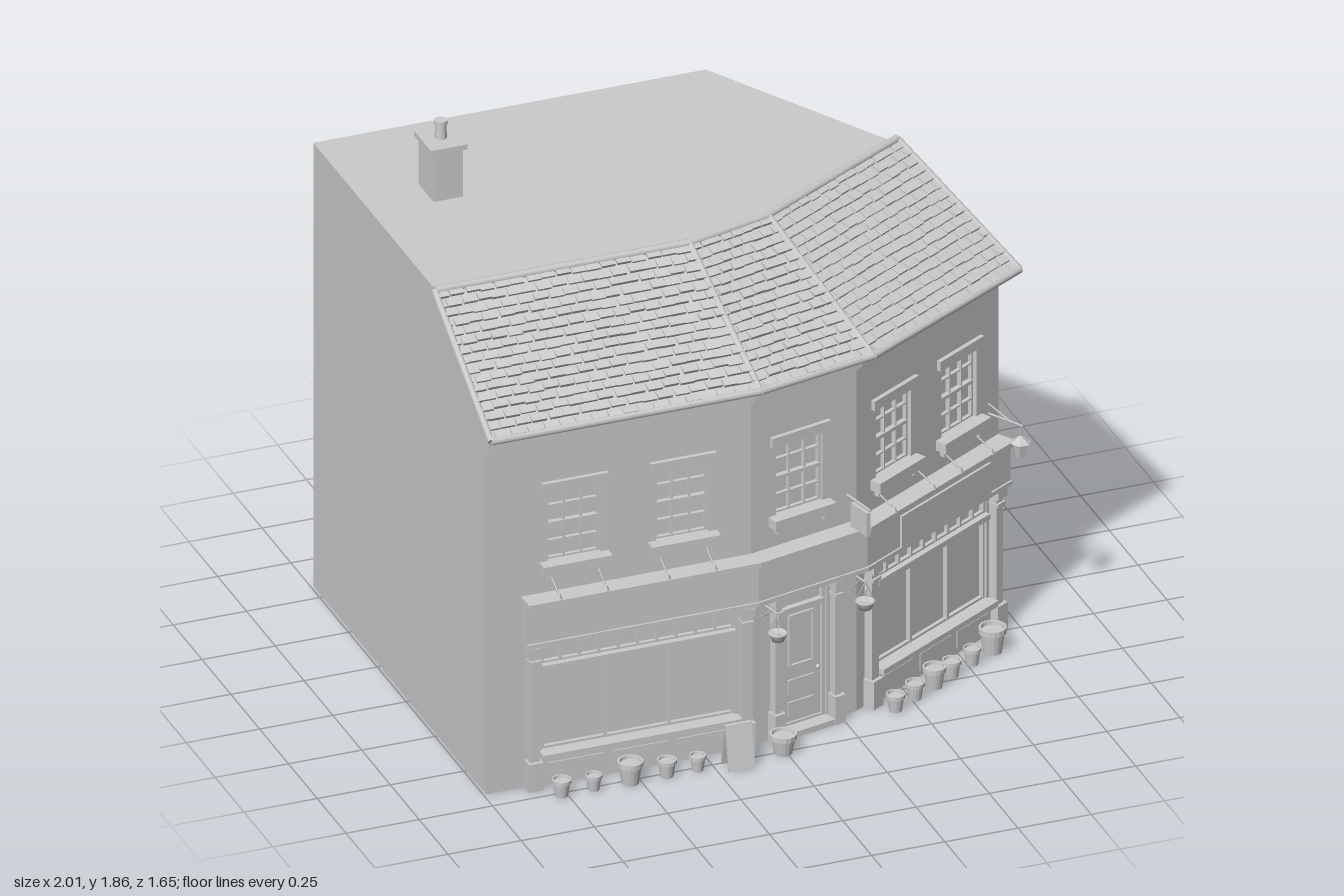
import * as THREE from 'three';
import { mergeGeometries } from 'three/addons/utils/BufferGeometryUtils.js';

const mat = new THREE.MeshStandardMaterial({ color: 0xcccccc });
const flat = new THREE.MeshStandardMaterial({ color: 0xcccccc, flatShading: true });
const V = (x, y, z) => new THREE.Vector3(x, y, z);

// Plan points as [x, z]
const FRONT = [[-0.99, 0.67], [-0.085, 0.67], [0.31, 0.58], [0.94, 0.21]];
const BACK = [[0.35, -0.83], [-0.99, -0.83]];
const EAVE = [[-1, 0.74], [-0.08, 0.74], [0.34, 0.65], [0.985, 0.28]];
const RIDGE = [[-1, 0.25], [-0.13, 0.25], [0.17, 0.17], [0.74, -0.16]];
const WALL_TOP = 1.33, FLAT_ROOF = 1.6;

let seed = 7;
const rand = () => (seed = (seed * 16807) % 2147483647) / 2147483647;

function add(parent, name, geo, x = 0, y = 0, z = 0, material = mat) {
  const m = new THREE.Mesh(geo, material);
  m.name = name;
  m.position.set(x, y, z);
  parent.add(m);
  return m;
}
const box = (p, name, w, h, d, x, y, z) => add(p, name, new THREE.BoxGeometry(w, h, d), x, y, z);

function rod(parent, name, a, b, r, sides = 8) {
  const m = add(parent, name, new THREE.CylinderGeometry(r, r, a.distanceTo(b), sides));
  m.position.copy(a).lerp(b, 0.5);
  m.quaternion.setFromUnitVectors(V(0, 1, 0), b.clone().sub(a).normalize());
  return m;
}

// Mitred outward offset of a plan polyline
function offset(pts, d) {
  const n = pts.slice(1).map((q, i) => {
    const dx = q[0] - pts[i][0], dz = q[1] - pts[i][1], l = Math.hypot(dx, dz);
    return [-dz / l, dx / l];
  });
  return pts.map((p, i) => {
    const a = n[Math.max(i - 1, 0)], b = n[Math.min(i, n.length - 1)];
    const k = d / (1 + a[0] * b[0] + a[1] * b[1]);
    return [p[0] + (a[0] + b[0]) * k, p[1] + (a[1] + b[1]) * k];
  });
}

function prism(parent, name, plan, y0, y1) {
  const shape = new THREE.Shape(plan.map(([x, z]) => new THREE.Vector2(x, -z)));
  const geo = new THREE.ExtrudeGeometry(shape, { depth: y1 - y0, bevelEnabled: false });
  return add(parent, name, geo.rotateX(-Math.PI / 2), 0, y0, 0);
}
// Moulding that follows the bent front
const band = (p, name, line, d, y0, y1) =>
  prism(p, name, [...offset(line, d), ...offset(line, -0.02).reverse()], y0, y1);

// Block laid on a sloping quad [a, b, c, d] (eave a-b, ridge d-c)
function slab([a, b, c, d], u0, u1, v0, v1, base, top0, top1) {
  const n = b.clone().sub(a).cross(d.clone().sub(a)).normalize();
  const geo = new THREE.BoxGeometry(1, 1, 1), pos = geo.attributes.position;
  for (let i = 0; i < pos.count; i++) {
    const u = pos.getX(i) < 0 ? u0 : u1, low = pos.getY(i) < 0, v = low ? v0 : v1;
    const h = pos.getZ(i) < 0 ? base : low ? top0 : top1;
    const p = a.clone().lerp(b, u).lerp(d.clone().lerp(c, u), v).addScaledVector(n, h);
    pos.setXYZ(i, p.x, p.y, p.z);
  }
  geo.computeVertexNormals();
  return geo;
}

// Attic between the wall head and the flat roof
function attic(parent) {
  const low = [...FRONT, ...BACK].map(([x, z]) => V(x, WALL_TOP, z));
  const inner = [[-0.99, 0.25], RIDGE[1], RIDGE[2], [0.735, -0.15]];
  const high = [...inner, ...BACK].map(([x, z]) => V(x, FLAT_ROOF, z));
  const tri = [];
  for (let i = 0; i < 6; i++) {
    const j = (i + 1) % 6;
    tri.push(low[i], low[j], high[j], low[i], high[j], high[i]);
    if (i < 4) tri.push(high[5], high[i], high[i + 1]);
  }
  const geo = new THREE.BufferGeometry().setFromPoints(tri);
  geo.computeVertexNormals();
  add(parent, 'attic', geo, 0, 0, 0, flat);
}

function roof(parent) {
  const e = EAVE.map(([x, z]) => V(x, 1.31, z)), r = RIDGE.map(([x, z]) => V(x, 1.61, z));
  const rows = 16, tiles = [];
  for (let k = 0; k < 3; k++) {
    const quad = [e[k], e[k + 1], r[k + 1], r[k]];
    add(parent, 'roofSlope', slab(quad, 0, 1, 0, 1, -0.025, 0, 0));
    const cols = [17, 8, 14][k];
    for (let j = 0; j < rows; j++) for (let i = -1; i < cols; i++) {
      const s = i + (j % 2) * 0.5 + 0.25 + rand() * 0.2, g = 0.05;
      const u0 = Math.max(0, (s + g) / cols), u1 = Math.min(1, (s + 1 - g) / cols);
      if (u1 - u0 < 0.01) continue;
      const lift = 0.008 + rand() * 0.006;
      tiles.push(slab(quad, u0, u1, (j + rand() * 0.15) / rows, (j + 0.98) / rows, -0.002, lift, 0.003));
    }
    rod(parent, 'ridgeCap', r[k], r[k + 1], 0.014);
    rod(parent, 'gutter', e[k], e[k + 1], 0.013);
  }
  add(parent, 'roofTiles', mergeGeometries(tiles));
  e.forEach((p, i) => rod(parent, i % 3 ? 'hipCap' : 'verge', p, r[i], 0.012));
}

// Bars around and across an opening
function lattice(p, name, x0, x1, y0, y1, cols, rows, t, z) {
  for (let i = 0; i <= cols; i++) {
    const w = i % cols ? t : t * 2;
    box(p, name, w, y1 - y0, 0.015, x0 + (x1 - x0) * i / cols, (y0 + y1) / 2, z);
  }
  for (let j = 0; j <= rows; j++) {
    const h = j % rows ? t : t * 2;
    box(p, name, x1 - x0, h, 0.013, (x0 + x1) / 2, y0 + (y1 - y0) * j / rows, z);
  }
}

function sashWindow(p, s) {
  lattice(p, 'sashBars', s - 0.088, s + 0.088, 0.8, 1.055, 3, 4, 0.006, -0.02);
  box(p, 'meetingRail', 0.17, 0.012, 0.018, s, 0.927, -0.018);
  box(p, 'lintel', 0.225, 0.035, 0.02, s, 1.07, 0.005);
  box(p, 'sill', 0.235, 0.035, 0.05, s, 0.783, 0.015);
  for (const k of [-0.09, 0.09]) box(p, 'sillBracket', 0.012, 0.03, 0.02, s + k, 0.752, 0.008);
}

function pilaster(p, s, w = 0.035) {
  box(p, 'pilasterShaft', w, 0.53, 0.03, s, 0.265, 0.015);
  box(p, 'pilasterPlinth', w + 0.015, 0.1, 0.045, s, 0.05, 0.02);
  box(p, 'pilasterCapital', w + 0.012, 0.03, 0.045, s, 0.5, 0.02);
  box(p, 'pilasterCollar', w + 0.006, 0.012, 0.04, s, 0.46, 0.018);
}

function shopWindow(p, s0, s1, smallPanes) {
  const mid = (s0 + s1) / 2, w = s1 - s0;
  lattice(p, 'shopFrame', s0, s1, 0.12, 0.415, 3, 1, 0.01, -0.015);
  lattice(p, 'transomLights', s0, s1, 0.43, 0.52, smallPanes, 1, 0.009, -0.012);
  box(p, 'transomRail', w, 0.02, 0.03, mid, 0.422, 0);
  box(p, 'shopSill', w + 0.02, 0.02, 0.05, mid, 0.112, 0.015);
  box(p, 'stallRiser', w, 0.1, 0.02, mid, 0.05, 0.005);
  for (let i = 0; i < 3; i++) box(p, 'riserPanel', w / 3 - 0.03, 0.06, 0.01, s0 + w * (i + 0.5) / 3, 0.052, 0.014);
}

function pot(p, s, z, r, h) {
  const prof = [[0, 0], [0.7, 0], [0.92, 0.78], [1.05, 0.78], [1.05, 1], [0.88, 1], [0.84, 0.85], [0, 0.85]];
  add(p, 'flowerPot', new THREE.LatheGeometry(prof.map(([a, b]) => new THREE.Vector2(a * r, b * h)), 16), s, 0, z, flat);
}

function hangingBasket(p, s, z) {
  const bowl = [[0, 0], [0.02, 0.006], [0.03, 0.03], [0.033, 0.036], [0.026, 0.036], [0, 0.03]];
  add(p, 'hangingBasket', new THREE.LatheGeometry(bowl.map(q => new THREE.Vector2(...q)), 14), s, 0.405, z);
  const top = V(s, 0.505, z);
  for (let i = 0; i < 3; i++) {
    const a = i * Math.PI * 2 / 3;
    rod(p, 'chain', V(s + 0.03 * Math.cos(a), 0.44, z + 0.03 * Math.sin(a)), top, 0.002, 5);
  }
  rod(p, 'basketBracket', V(s, 0.505, 0), top, 0.004, 6);
  rod(p, 'basketBrace', V(s, 0.45, 0), V(s, 0.505, z * 0.7), 0.003, 6);
}

function lantern(p, s, z) {
  add(p, 'lanternBody', new THREE.CylinderGeometry(0.028, 0.015, 0.05, 6), s, 0.7, z, flat);
  add(p, 'lanternCap', new THREE.ConeGeometry(0.034, 0.025, 6), s, 0.737, z, flat);
  rod(p, 'lanternHook', V(s, 0.74, z), V(s, 0.785, z), 0.003, 6);
  rod(p, 'lanternArm', V(s, 0.785, 0), V(s, 0.785, z + 0.01), 0.004, 6);
  rod(p, 'lanternBrace', V(s, 0.82, 0), V(s, 0.785, z * 0.7), 0.003, 6);
}

// Wall panel with openings; local x runs along the wall, z points outwards
function facade(parent, name, k, holes) {
  const [a, b] = [FRONT[k], FRONT[k + 1]], dx = b[0] - a[0], dz = b[1] - a[1], len = Math.hypot(dx, dz);
  const g = new THREE.Group();
  g.name = name;
  g.position.set(a[0], 0, a[1]);
  g.rotation.y = Math.atan2(-dz, dx);
  parent.add(g);
  const rect = (x0, x1, y0, y1, T) => new T([[x0, y0], [x1, y0], [x1, y1], [x0, y1]].map(q => new THREE.Vector2(...q)));
  const shape = rect(0, len, 0, WALL_TOP, THREE.Shape);
  shape.holes = holes.map(h => rect(...h, THREE.Path));
  add(g, 'wallPanel', new THREE.ExtrudeGeometry(shape, { depth: 0.03, bevelEnabled: false }), 0, 0, -0.03);
  return g;
}
const sashHole = s => [s - 0.09, s + 0.09, 0.8, 1.055];

export function createModel() {
  const model = new THREE.Group();
  model.name = 'cornerShop';
  prism(model, 'buildingCore', [...offset(FRONT, -0.03), ...BACK], 0, WALL_TOP);
  // Side and rear walls stay flush with the panel ends
  attic(model);
  roof(model);

  // Eaves cornice and shop fascia
  [[0.012, 1.235, 1.25], [0.025, 1.25, 1.275], [0.045, 1.275, 1.305]].forEach(b => band(model, 'cornice', FRONT, ...b));
  const shopLine = [[-0.87, 0.67], ...FRONT.slice(1)];
  band(model, 'fascia', shopLine, 0.05, 0.53, 0.67);
  band(model, 'fasciaCap', shopLine, 0.07, 0.67, 0.69);
  band(model, 'fasciaFoot', shopLine, 0.057, 0.525, 0.54);

  // Three front walls
  const left = facade(model, 'leftBay', 0, [sashHole(0.3), sashHole(0.67), [0.19, 0.85, 0.1, 0.525]]);
  const middle = facade(model, 'doorBay', 1, [sashHole(0.185), [0.11, 0.29, 0.02, 0.52]]);
  const right = facade(model, 'rightBay', 2, [sashHole(0.19), sashHole(0.527), [0.1, 0.67, 0.1, 0.525]]);
  [[left, 0.3], [left, 0.67], [middle, 0.185], [right, 0.19], [right, 0.527]].forEach(w => sashWindow(...w));
  shopWindow(left, 0.19, 0.85, 10);
  shopWindow(right, 0.1, 0.67, 9);
  [[left, 0.155], [left, 0.88], [right, 0.06], [right, 0.7], [middle, 0.085, 0.025], [middle, 0.315, 0.025]].forEach(w => pilaster(...w));
  box(right, 'signPanel', 0.46, 0.11, 0.012, 0.39, 0.597, 0.053);

  // Door
  box(middle, 'doorLeaf', 0.15, 0.41, 0.012, 0.2, 0.225, -0.022);
  lattice(middle, 'doorFrame', 0.115, 0.285, 0.02, 0.515, 1, 1, 0.008, -0.015);
  box(middle, 'doorTransom', 0.17, 0.015, 0.02, 0.2, 0.438, -0.012);
  lattice(middle, 'doorGlazing', 0.155, 0.245, 0.23, 0.41, 1, 1, 0.004, -0.014);
  for (const y of [0.075, 0.155]) box(middle, 'doorPanel', 0.1, 0.05, 0.01, 0.2, y, -0.015);
  add(middle, 'doorKnob', new THREE.SphereGeometry(0.008, 10, 8), 0.262, 0.2, -0.008);
  box(middle, 'doorStep', 0.21, 0.02, 0.07, 0.2, 0.01, 0.005);

  // Fascia lamps
  for (const [p, s] of [[left, 0.22], [left, 0.38], [left, 0.59], [left, 0.75], [right, 0.1], [right, 0.3], [right, 0.44], [right, 0.6]]) {
    rod(p, 'fasciaLampArm', V(s, 0.75, 0), V(s, 0.715, 0.07), 0.003, 6);
    add(p, 'fasciaLampShade', new THREE.CylinderGeometry(0.004, 0.012, 0.018, 8), s, 0.708, 0.073);
  }

  // Hanging sign, baskets and lantern
  box(middle, 'hangingSign', 0.015, 0.085, 0.09, 0.37, 0.735, 0.075);
  rod(middle, 'signArm', V(0.37, 0.79, 0), V(0.37, 0.79, 0.13), 0.005, 6);
  hangingBasket(middle, 0.035, 0.1);
  hangingBasket(middle, 0.385, 0.08);
  lantern(right, 0.68, 0.13);

  // Pots along the pavement
  [[0.22, 0.03, 0.06], [0.33, 0.026, 0.055], [0.455, 0.04, 0.08], [0.58, 0.03, 0.06], [0.685, 0.026, 0.055]].forEach(([s, r, h]) => pot(left, s, 0.095, r, h));
  [[0.08, 0.03, 0.06], [0.18, 0.03, 0.06], [0.28, 0.036, 0.075], [0.37, 0.03, 0.06], [0.475, 0.028, 0.06], [0.58, 0.043, 0.09]].forEach(([s, r, h]) => pot(right, s, 0.095, r, h));
  pot(middle, 0.055, 0.1, 0.042, 0.07);

  // Folding pavement board
  for (const k of [-1, 1]) {
    const leaf = box(left, 'pavementBoard', 0.09, 0.155, 0.008, 0.815, 0.077, 0.115 + k * 0.017);
    leaf.rotation.x = -k * 0.2;
  }

  // Chimney
  box(model, 'chimneyStack', 0.1, 0.19, 0.13, -0.73, 1.68, -0.385);
  box(model, 'chimneyCap', 0.125, 0.018, 0.15, -0.73, 1.782, -0.385);
  add(model, 'chimneyPot', new THREE.CylinderGeometry(0.017, 0.02, 0.06, 16), -0.73, 1.82, -0.385);
  add(model, 'chimneyPotRim', new THREE.CylinderGeometry(0.022, 0.022, 0.012, 16), -0.73, 1.849, -0.385);
  return model;
}
